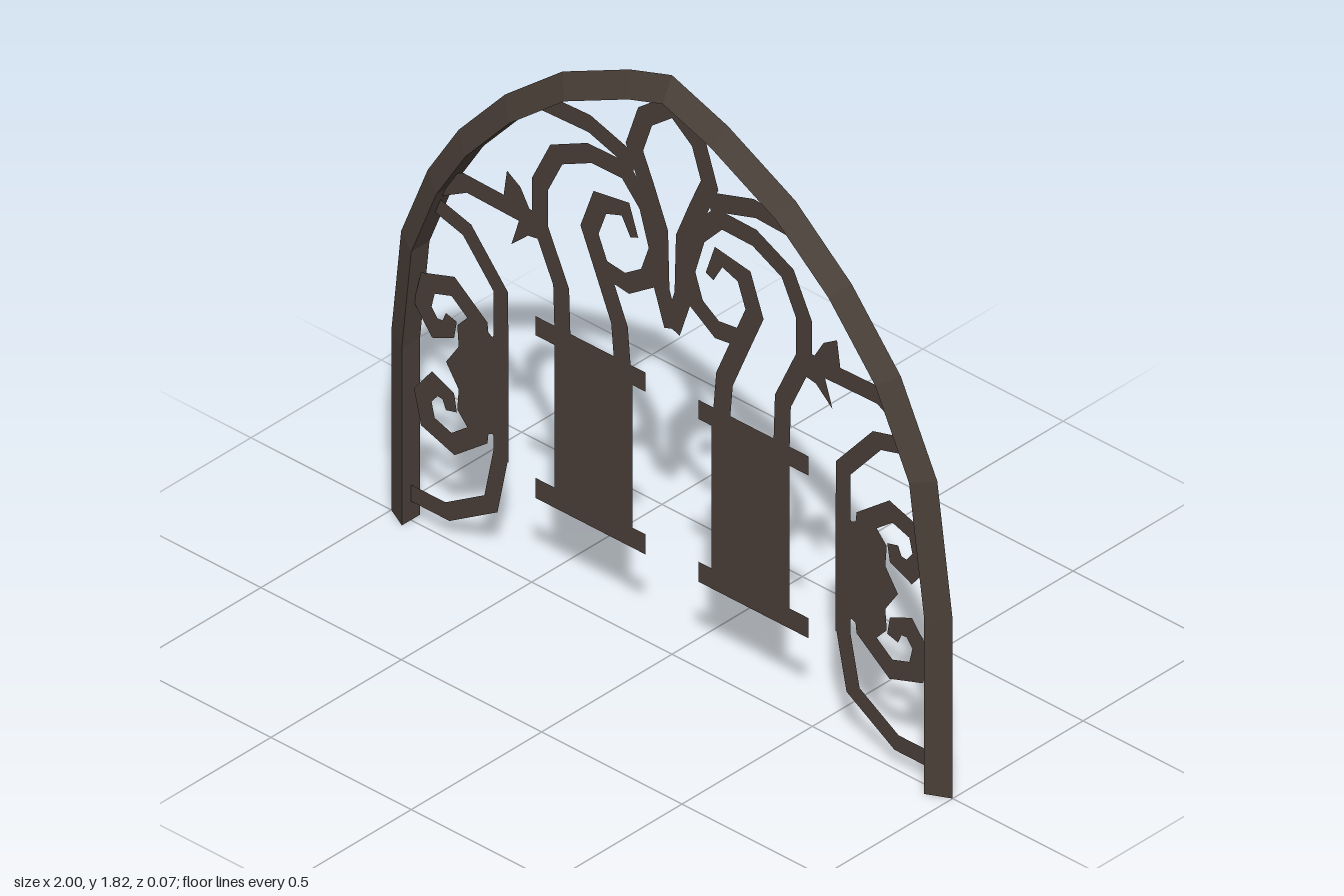
import * as THREE from 'three';

const iron = new THREE.MeshStandardMaterial({ color: 0x4a3f38, flatShading: true });
iron.name = 'dark iron';
const ironSheet = new THREE.MeshStandardMaterial({ color: 0x4a3f38, side: THREE.DoubleSide });
ironSheet.name = 'dark iron sheet';

// Mitred right-hand normals along a polyline
function miters(pts) {
  const normals = pts.slice(1).map((p, i) => {
    const dx = p[0] - pts[i][0], dy = p[1] - pts[i][1], l = Math.hypot(dx, dy);
    return [dy / l, -dx / l];
  });
  return pts.map((_, i) => {
    const a = normals[Math.max(i - 1, 0)], b = normals[Math.min(i, normals.length - 1)];
    const k = 1 + a[0] * b[0] + a[1] * b[1];
    return [(a[0] + b[0]) / k, (a[1] + b[1]) / k];
  });
}

// Outline of a flat bar that follows a polyline, narrowing to endWidth over its last stretch
function bar(pts, width, endWidth = width) {
  const n = miters(pts), last = pts.length - 1;
  const side = (s) => pts.map((p, i) => {
    const t = Math.max(0, (i - last + 2) / 2);
    const h = s * (width + (endWidth - width) * t) / 2;
    return [p[0] + n[i][0] * h, p[1] + n[i][1] * h];
  });
  return [...side(1), ...side(-1).reverse()];
}

const rect = (x0, x1, y0, y1) => [[x0, y0], [x1, y0], [x1, y1], [x0, y1]];
const flip = (pts) => pts.map(([x, y]) => [x, 1.106 - y]);

// Triangular bar with its ridge outward, swept over the arch
function archGeometry(path) {
  const W = 0.07, Z = 0.035, n = miters(path), pos = [], index = [];
  path.forEach(([x, y], i) => {
    const ix = x + n[i][0] * W, iy = y + n[i][1] * W;
    pos.push(x, y, 0, ix, iy, Z, ix, iy, -Z);
  });
  for (let i = 0; i < path.length - 1; i++) {
    for (let j = 0; j < 3; j++) {
      const k = (j + 1) % 3, a = i * 3 + j, b = i * 3 + k;
      index.push(a, b, b + 3, a, b + 3, a + 3);
    }
  }
  const e = (path.length - 1) * 3;
  index.push(0, 2, 1, e, e + 1, e + 2);
  const g = new THREE.BufferGeometry();
  g.setAttribute('position', new THREE.Float32BufferAttribute(pos, 3));
  g.setIndex(index);
  const flat = g.toNonIndexed();
  flat.computeVertexNormals();
  return flat;
}

export function createModel() {
  const model = new THREE.Group();
  model.name = 'ironArch';

  // Pointed outer frame
  const arch = new THREE.Mesh(archGeometry([
    [-1, 0], [-1, 0.56], [-0.965, 0.89], [-0.87, 1.125], [-0.76, 1.3], [-0.595, 1.485],
    [-0.39, 1.65], [-0.15, 1.765], [0, 1.815], [0.2, 1.745], [0.44, 1.62], [0.64, 1.45],
    [0.815, 1.24], [0.945, 0.97], [1, 0.56], [1, 0],
  ]), iron);
  arch.name = 'archFrame';
  model.add(arch);

  // Flat scrollwork, described for the left half
  const scroll = [[0.675, 0.635], [0.685, 0.727], [0.78, 0.8], [0.87, 0.77],
    [0.888, 0.695], [0.845, 0.64], [0.797, 0.658], [0.786, 0.7]];
  const bodyTop = [[0.583, 0.77], [0.64, 0.705], [0.715, 0.74], [0.765, 0.685], [0.76, 0.62], [0.805, 0.553]];
  const parts = {
    // Column plate with its two caps
    columnPanel: rect(0.14, 0.418, 0.27, 0.84),
    columnTopCap: rect(0.095, 0.487, 0.78, 0.84),
    columnFoot: rect(0.095, 0.487, 0.27, 0.333),
    // Hooks rising from the column
    outerHook: bar([[0.39, 0.82], [0.395, 0.973], [0.47, 1.134], [0.47, 1.262], [0.412, 1.38],
      [0.294, 1.438], [0.166, 1.44], [0.09, 1.358], [0.053, 1.235], [0.086, 1.14],
      [0.16, 1.09], [0.24, 1.1]], 0.057),
    innerHook: bar([[0.176, 0.82], [0.187, 0.947], [0.246, 1.086], [0.294, 1.198],
      [0.257, 1.3], [0.166, 1.32], [0.134, 1.245]], 0.06, 0.03),
    // Central petal and the bar tying it to the frame
    petal: bar([[0, 1.717], [0.096, 1.642], [0.134, 1.53], [0.09, 1.43], [0.043, 1.315],
      [0.038, 1.134], [0, 1.02]], 0.058),
    upperTie: bar([[0.5, 1.522], [0.294, 1.53], [0.13, 1.478]], 0.056),
    // Side arrow
    arrowShaft: bar([[0.86, 1.075], [0.738, 1.144], [0.52, 1.139]], 0.056),
    arrowHead: [[0.6, 1.166], [0.588, 1.25], [0.54, 1.22], [0.508, 1.166], [0.455, 1.166],
      [0.455, 1.09], [0.513, 1.08], [0.572, 1.027], [0.545, 1.112]],
    // Side loop with its pair of curls
    sideLoop: bar([[0.86, 1.035], [0.73, 1], [0.61, 0.86], [0.61, 0.35], [0.645, 0.18],
      [0.8, 0.085], [0.94, 0.085]], 0.052),
    curlBody: [...bodyTop, ...flip(bodyTop).reverse().slice(1)],
    upperCurl: bar(scroll, 0.058, 0.04),
    lowerCurl: bar(flip(scroll), 0.058, 0.04),
  };

  for (const s of [1, -1]) {
    const half = new THREE.Group();
    half.name = s > 0 ? 'leftScrollwork' : 'rightScrollwork';
    for (const [name, pts] of Object.entries(parts)) {
      const shape = new THREE.Shape(pts.map(([x, y]) => new THREE.Vector2(s * x, y)));
      const mesh = new THREE.Mesh(new THREE.ShapeGeometry(shape), ironSheet);
      mesh.name = name;
      half.add(mesh);
    }
    model.add(half);
  }
  return model;
}
